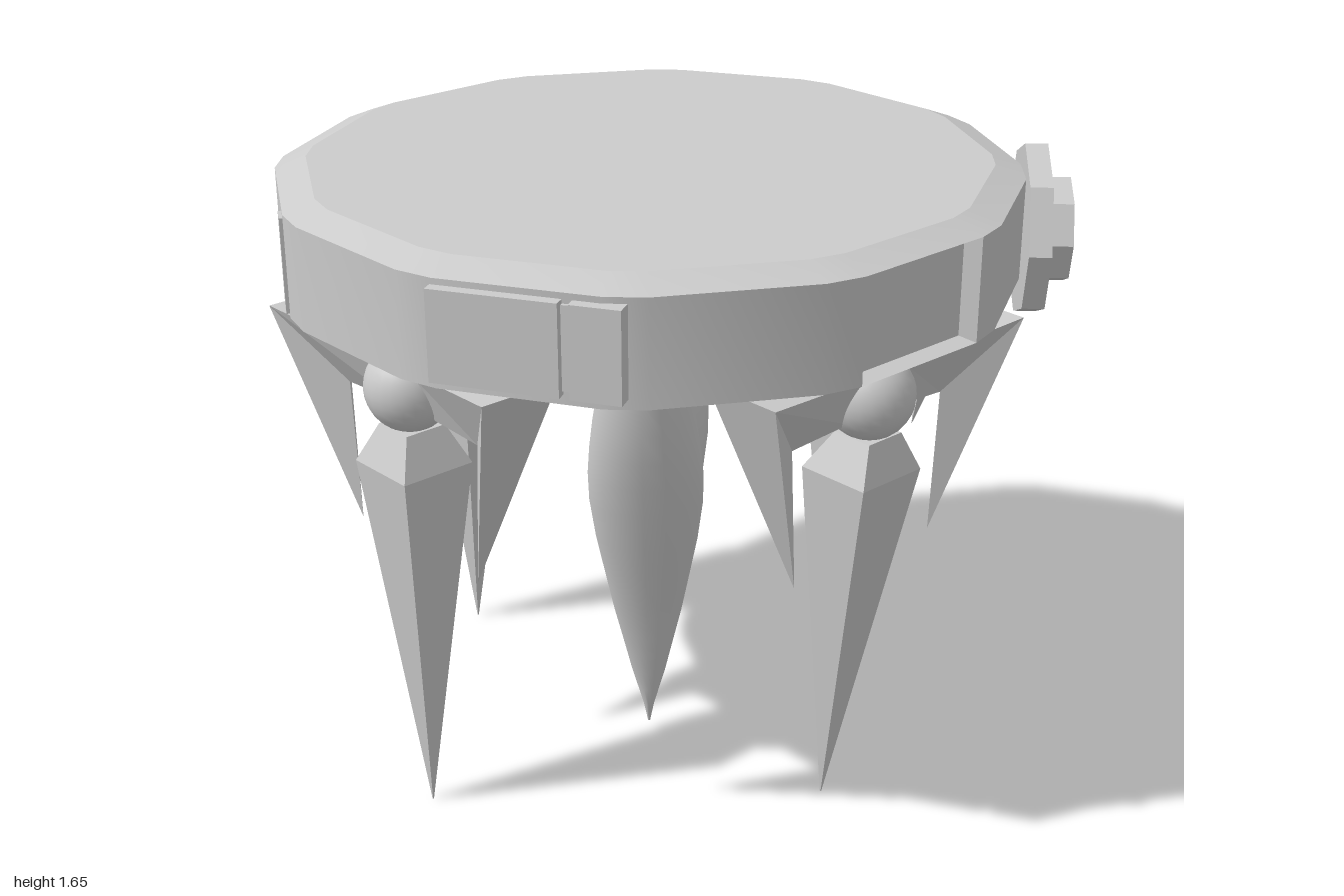
import * as THREE from 'three';
import { toCreasedNormals } from 'three/addons/utils/BufferGeometryUtils.js';

const CX = -0.06, CZ = -0.02;
const mat = new THREE.MeshStandardMaterial({ color: 0xcccccc });
const V = (x, y, z) => new THREE.Vector3(x, y, z);

function mesh(name, geo, parent) {
  const m = new THREE.Mesh(geo, mat);
  m.name = name;
  parent.add(m);
  return m;
}

// Polygons with corners listed counter-clockwise; unshared corners give flat faces
function facesGeometry(polys, crease = 0) {
  const pts = [];
  for (const p of polys)
    for (let i = 1; i < p.length - 1; i++) pts.push(p[0], p[i], p[i + 1]);
  const g = new THREE.BufferGeometry().setFromPoints(pts);
  g.computeVertexNormals();
  return crease ? toCreasedNormals(g, crease) : g;
}

// Closed skin over rings stacked from bottom to top
function loft(rings, skip = () => false) {
  const n = rings[0].length, polys = [];
  for (let i = 0; i < rings.length - 1; i++)
    for (let j = 0; j < n; j++) {
      const k = (j + 1) % n, a = rings[i], b = rings[i + 1];
      if (!skip(i, j)) polys.push([a[j], b[j], b[k], a[k]]);
    }
  polys.push(rings[0], [...rings[rings.length - 1]].reverse());
  return polys;
}

const ring = (n, x, y, z, rx, rz) => Array.from({ length: n }, (_, i) => {
  const a = (i / n) * Math.PI * 2;
  return V(x + rx * Math.cos(a), y, z + rz * Math.sin(a));
});

// Twelve-sided top with chamfered corners and one recessed window
function addDisc(root) {
  const discRing = (r, y) => Array.from({ length: 24 }, (_, i) => {
    const a = THREE.MathUtils.degToRad(Math.floor(i / 2) * 30 + (i % 2 ? 3.03 : -3.03));
    return V(CX + r * Math.cos(a), y, CZ + r * Math.sin(a));
  });
  const rings = [discRing(0.87, 1.295), discRing(0.946, 1.32), discRing(0.946, 1.58), discRing(0.866, 1.61)];
  const polys = loft(rings, (i, j) => i === 1 && j === 3);
  mesh('discTop', facesGeometry(polys, 0.3), root);

  const outer = [rings[1][3], rings[2][3], rings[2][4], rings[1][4]];
  const mid = outer.reduce((s, p) => s.add(p), V(0, 0, 0)).multiplyScalar(0.25);
  const inner = outer.map((p) => p.clone().lerp(mid, 0.08).add(V(-0.03, 0, -0.03)));
  const win = [inner];
  for (let i = 0; i < 4; i++) {
    const k = (i + 1) % 4;
    win.push([outer[i], outer[k], inner[k], inner[i]]);
  }
  mesh('recessedWindow', facesGeometry(win), root);
}

// Box lying on the rim: angle from +x towards +z, t runs along the facet
function rimBox(name, parent, deg, t, y, w, h, reach) {
  const a = THREE.MathUtils.degToRad(deg), depth = 0.1;
  const d = reach - depth / 2;
  const m = mesh(name, new THREE.BoxGeometry(depth, h, w), parent);
  m.position.set(CX + d * Math.cos(a) - t * Math.sin(a), y, CZ + d * Math.sin(a) + t * Math.cos(a));
  m.rotation.y = -a;
}

// Plates, vents and small slits around the rim
function addRimDetails(root) {
  rimBox('frontPlate', root, 105, 0.047, 1.455, 0.306, 0.22, 0.955);
  rimBox('frontPlateGroove', root, 105, -0.12, 1.455, 0.04, 0.2, 0.935);
  rimBox('frontPlateEnd', root, 105, -0.19, 1.455, 0.12, 0.22, 0.955);
  for (const y of [1.39, 1.465, 1.545]) rimBox('ventBar', root, -45, 0, y, 0.41, 0.026, 0.94);
  rimBox('slitCover', root, 165, -0.16, 1.45, 0.06, 0.24, 0.934);
  rimBox('slitCover', root, 195, 0.1, 1.45, 0.08, 0.24, 0.934);
  rimBox('slitCover', root, 225, 0.08, 1.45, 0.1, 0.24, 0.934);
}

// Octagonal knob on the side, with a hollow end
function addKnob(root) {
  const knob = new THREE.Group();
  knob.name = 'sideKnob';
  knob.position.set(0.82, 1.43, CZ);
  knob.rotation.y = Math.PI / 2;
  root.add(knob);
  const octagon = (C, r) => new C(Array.from({ length: 8 }, (_, i) =>
    new THREE.Vector2(r * Math.cos(i * Math.PI / 4), r * Math.sin(i * Math.PI / 4))));
  const slab = (name, shape, z, depth) => {
    mesh(name, new THREE.ExtrudeGeometry(shape, { depth, bevelEnabled: false }), knob).position.z = z;
  };
  slab('knobFlange', octagon(THREE.Shape, 0.223), 0.06, 0.057);
  const rim = octagon(THREE.Shape, 0.137);
  rim.holes.push(octagon(THREE.Path, 0.103));
  slab('knobRim', rim, 0.117, 0.063);
}

// Leg: ball joint, four-sided spike and two claws set across the corner
function clawGeometry() {
  const r0 = V(0.07, 1.25, 0.05), r1 = V(0.07, 1.25, -0.05), r2 = V(0.07, 1.12, 0);
  const e0 = V(0.43, 1.293, 0.11), e1 = V(0.43, 1.293, -0.11);
  const bend = V(0.26, 1.11, 0), tip = V(0.24, 0.74, 0);
  return facesGeometry([
    [r0, e0, e1, r1], [e0, tip, e1], [r0, r1, r2],
    [r0, r2, bend, e0], [e0, bend, tip],
    [e1, bend, r2, r1], [tip, bend, e1],
  ]);
}

function addLeg(root, sx, sz, tipX, tipZ) {
  const leg = new THREE.Group();
  leg.name = (sz > 0 ? 'front' : 'back') + (sx > 0 ? 'Left' : 'Right') + 'Leg';
  const x = CX + sx * 0.55, z = CZ + 0.005 + sz * 0.495;
  leg.position.set(x, 0, z);
  root.add(leg);
  mesh('ballJoint', new THREE.SphereGeometry(0.112, 24, 16), leg).position.y = 1.18;
  const lx = tipX - x, lz = tipZ - z;
  mesh('legSpike', facesGeometry(loft([
    ring(4, lx, 0, lz, 0.002, 0.002),
    ring(4, lx * 0.15, 0.98, lz * 0.15, 0.143, 0.143),
    ring(4, 0, 1.08, 0, 0.08, 0.08),
  ])), leg);
  for (const turn of [0, Math.PI])
    mesh('claw', clawGeometry(), leg).rotation.y = sx * sz * Math.PI / 4 + turn;
}

// Pair of swelling fangs under the middle, joined by a waisted bridge
function addFangs(root) {
  // height, distance from middle, half depth, half width
  const keys = [[0.03, 0.132, 0.003, 0.003], [0.2, 0.142, 0.03, 0.045], [0.4, 0.165, 0.055, 0.09],
    [0.75, 0.217, 0.105, 0.148], [1.0, 0.268, 0.115, 0.132], [1.3, 0.34, 0.065, 0.08]];
  const path = new THREE.CatmullRomCurve3(keys.map((k) => V(k[0], k[1], k[2])));
  const widths = new THREE.SplineCurve(keys.map((k) => new THREE.Vector2(k[0], k[3])));
  for (const s of [1, -1]) {
    const rings = [];
    for (let i = 0; i <= 15; i++) {
      const p = path.getPoint(i / 15), w = widths.getPoint(i / 15).y;
      rings.push(ring(16, CX, p.x, CZ + 0.005 + s * p.y, w, p.z));
    }
    mesh('fang', facesGeometry(loft(rings), 0.9), root);
  }
  const profile = [[0.13, -0.22], [0.1, -0.13], [0.065, -0.07], [0.048, 0], [0.065, 0.07], [0.1, 0.13], [0.13, 0.22]];
  const bridge = mesh('fangBridge', new THREE.LatheGeometry(
    new THREE.SplineCurve(profile.map((p) => new THREE.Vector2(...p))).getPoints(18), 16), root);
  bridge.scale.x = 0.8;
  bridge.rotation.x = Math.PI / 2;
  bridge.position.set(CX, 0.848, CZ + 0.005);
}

export function createModel() {
  const root = new THREE.Group();
  root.name = 'clawFootedTable';
  addDisc(root);
  addRimDetails(root);
  addKnob(root);
  addLeg(root, 1, 1, 0.41, 0.4);
  addLeg(root, 1, -1, 0.45, -0.51);
  addLeg(root, -1, 1, -0.61, 0.48);
  addLeg(root, -1, -1, -0.62, -0.51);
  addFangs(root);
  return root;
}
